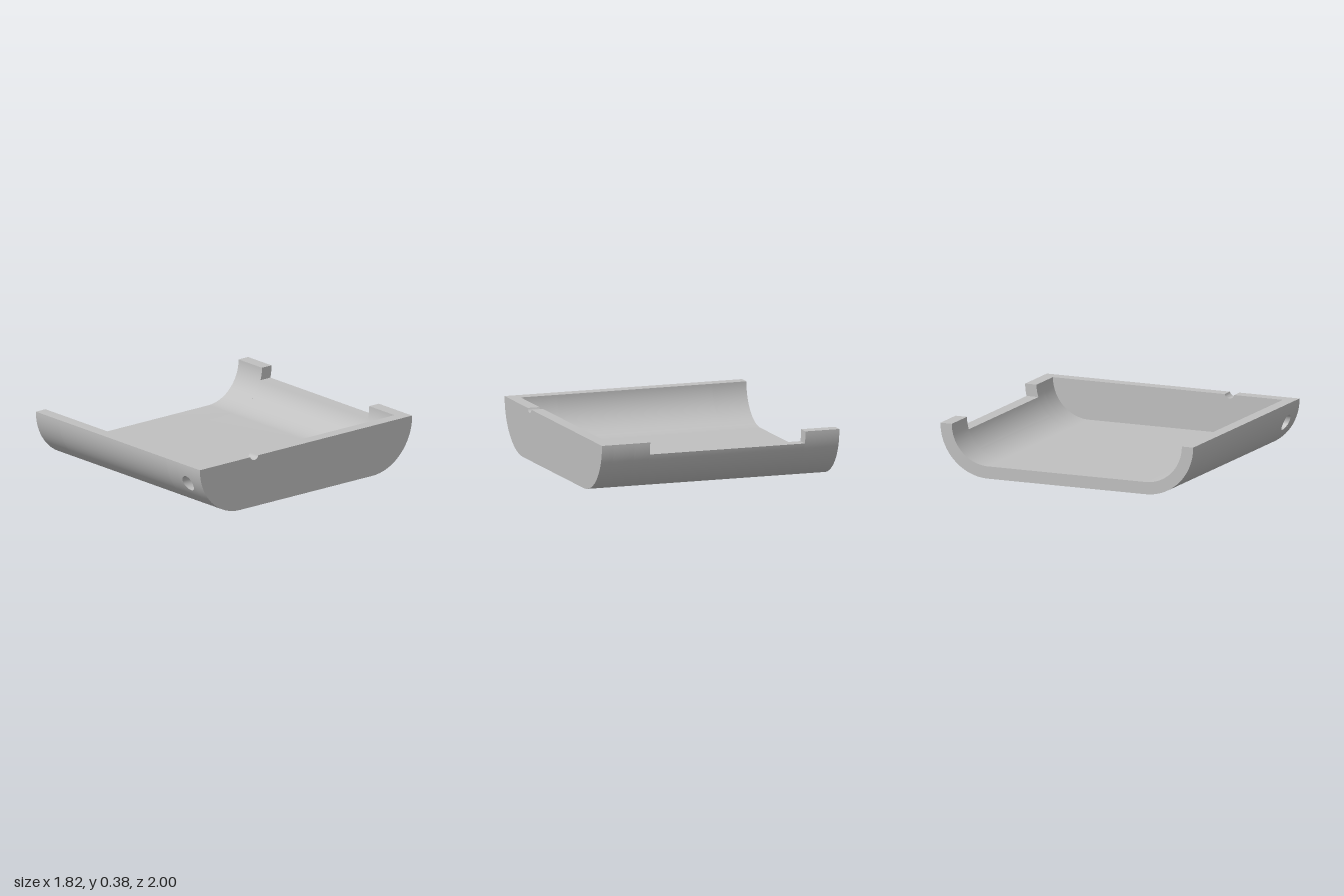
import * as THREE from 'three';
import { toCreasedNormals } from 'three/addons/utils/BufferGeometryUtils.js';

const H = 0.377, WALL = 0.09, RO = H, RI = H - WALL; // height, thickness, outer and inner corner radius
const C = 1 - RO;                                    // z of the corner arc centres
const X0 = -0.91, X1 = 0.82, X2 = 0.91;              // open end, inside and outside of end wall
const CUT0 = -0.65, CUT1 = 0.54, CUT_DEPTH = 0.09;   // wide cut in the back rim
const PATCH = 0.66;                                  // start of the front corner with the hole
const HOLE = { x: 0.745, dy: 0.145, r: 0.057 };      // dy is measured down from the rim
const Q = Math.PI / 2;

export function createModel() {
  const group = new THREE.Group();
  const grey = new THREE.MeshStandardMaterial({ color: 0xc0c0c0 });
  grey.name = 'grey';

  const add = (name, geometry) => {
    const mesh = new THREE.Mesh(geometry, grey);
    mesh.name = name;
    group.add(mesh);
  };

  // Corner arc in the section plane (u = -z); side -1 is the front, +1 the back
  const arc = (side, r, a0, a1, n = 32) => {
    const points = [];
    const steps = a0 === a1 ? 0 : n;
    for (let i = 0; i <= steps; i++) {
      const a = a0 + (a1 - a0) * (steps ? i / steps : 0);
      points.push(new THREE.Vector2(side * (C + r * Math.cos(a)), H - r * Math.sin(a)));
    }
    return points;
  };

  // Section extruded along x
  const extrudeX = (points, xa, xb) => {
    const g = new THREE.ExtrudeGeometry(new THREE.Shape(points), { depth: xb - xa, bevelEnabled: false });
    g.rotateY(Q).translate(xa, 0, 0);
    return toCreasedNormals(g, 0.5);
  };

  // Open channel section: front arc start angle, drop of the back rim
  const channel = (front, drop) => [
    ...arc(-1, RO, front, Q),
    ...arc(1, RO, Q, Math.asin(drop / RO)),
    ...arc(1, RI, Math.asin(drop / RI), Q),
    ...arc(-1, RI, Q, front),
  ];

  add('trayOpenEnd', extrudeX(channel(0, 0), X0, CUT0));
  add('trayLowBack', extrudeX(channel(0, CUT_DEPTH), CUT0, CUT1));
  add('trayMiddle', extrudeX(channel(0, 0), CUT1, PATCH));
  add('trayBackCorner', extrudeX(channel(Q, 0), PATCH, X1));

  // End wall with a small round notch in its rim
  const wall = [...arc(-1, RO, 0, Q), ...arc(1, RO, Q, 0)];
  const notchR = 0.039, lift = 0.01, tilt = Math.asin(lift / notchR);
  for (let i = 0; i <= 14; i++) {
    const a = -tilt - (Math.PI - 2 * tilt) * i / 14;
    wall.push(new THREE.Vector2(-0.487 + notchR * Math.cos(a), H + lift + notchR * Math.sin(a)));
  }
  add('endWall', extrudeX(wall, X1, X2));

  // Grid surface from a rule giving [position, normal]
  const surface = (rule, nu, nv, flip) => {
    const pos = [], nor = [], index = [];
    for (let i = 0; i <= nu; i++) {
      for (let j = 0; j <= nv; j++) {
        const [p, n] = rule(i / nu, j / nv);
        pos.push(...p);
        nor.push(...n);
        if (i === nu || j === nv) continue;
        const a = i * (nv + 1) + j, b = a + nv + 1;
        if (flip) index.push(a, b + 1, b, a, a + 1, b + 1);
        else index.push(a, b, b + 1, a, b + 1, a + 1);
      }
    }
    const g = new THREE.BufferGeometry();
    g.setAttribute('position', new THREE.Float32BufferAttribute(pos, 3));
    g.setAttribute('normal', new THREE.Float32BufferAttribute(nor, 3));
    g.setIndex(index);
    return g;
  };

  // Point on the hole's edge where it meets the arc of radius r, as [x, angle]
  const holeEdge = (r, a) => [
    HOLE.x + HOLE.r * Math.cos(a),
    Math.asin((HOLE.dy - HOLE.r * Math.sin(a)) / r),
  ];

  // Corner of the patch border, counter-clockwise from the lower left
  const corners = [[PATCH, Q], [X1, Q], [X1, 0], [PATCH, 0], [PATCH, Q]];

  // Curved skin lofted from the hole's edge to the patch border
  const skin = (r, sign) => surface((u, v) => {
    const side = Math.min(3, Math.floor(u * 4 + 1e-9)), t = u * 4 - side;
    const [ax, aa] = corners[side], [bx, ba] = corners[side + 1];
    const x = ax + (bx - ax) * t, angle = aa + (ba - aa) * t;
    const mid = Math.asin(HOLE.dy / r);
    const [hx, ha] = holeEdge(r, Math.atan2((mid - angle) * r, x - HOLE.x));
    const px = hx + (x - hx) * v, pa = ha + (angle - ha) * v;
    const s = Math.sin(pa), c = Math.cos(pa);
    return [[px, H - r * s, C + r * c], [0, -s * sign, c * sign]];
  }, 160, 14, sign > 0);

  add('frontCornerOutside', skin(RO, 1));
  add('frontCornerInside', skin(RI, -1));

  // Bore of the hole, running straight along z
  add('holeBore', surface((u, v) => {
    const a = u * Math.PI * 2;
    const zAt = (r) => C + r * Math.cos(holeEdge(r, a)[1]);
    const z = zAt(RI) + (zAt(RO) - zAt(RI)) * v;
    const c = Math.cos(a), s = Math.sin(a);
    return [[HOLE.x + HOLE.r * c, H - HOLE.dy + HOLE.r * s, z], [-c, -s, 0]];
  }, 64, 1, true));

  // Flat rim above the hole
  const rim = new THREE.PlaneGeometry(X1 - PATCH, WALL);
  rim.rotateX(-Q).translate((PATCH + X1) / 2, H, 1 - WALL / 2);
  add('frontCornerRim', rim);

  return group;
}
